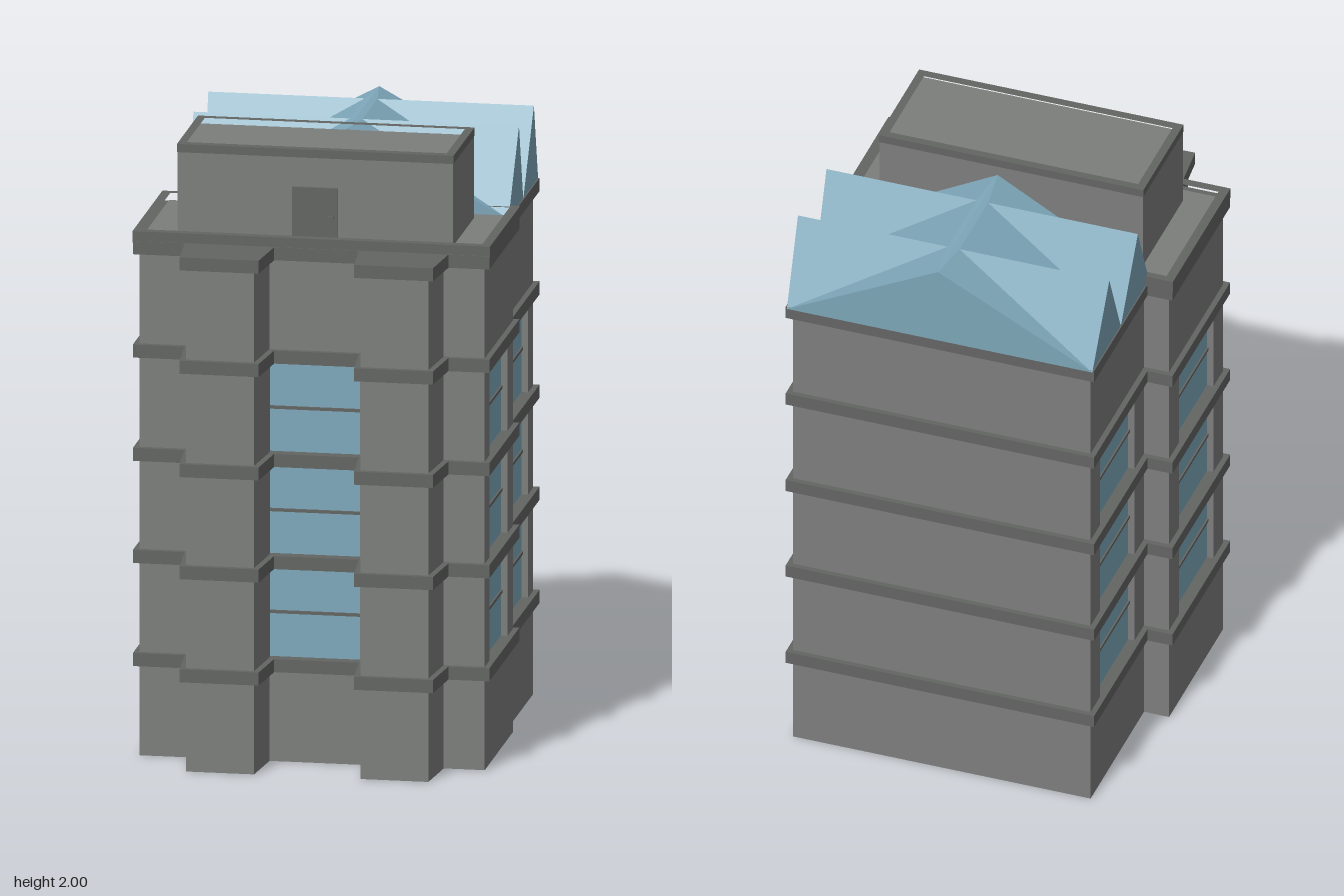
import * as THREE from 'three';

const wallMat = new THREE.MeshStandardMaterial({ color: 0x7c7e7c });
const trimMat = new THREE.MeshStandardMaterial({ color: 0x636563 });
const glassMat = new THREE.MeshStandardMaterial({ color: 0x7fa9bc, side: THREE.DoubleSide, flatShading: true });

const STOREYS = [[0.34, 0.635], [0.675, 0.97], [1.01, 1.31]];
const PIERS = [0.3, -0.265];
const FRONT_X = 0.56, BACK_L = 0.535, BACK_R = -0.475;
const SIDE_WINDOWS = [[0.005, 0.33], [-0.505, -0.18]]; // z ranges: front block, back block
const FRONT_WINDOW = [-0.14, 0.155];
const RECESS = 0.03;

function add(group, name, geometry, material, x = 0, y = 0, z = 0) {
  const mesh = new THREE.Mesh(geometry, material);
  mesh.name = name;
  mesh.position.set(x, y, z);
  group.add(mesh);
  return mesh;
}

// Box given by its min and max on each axis
function box(group, name, material, [x0, x1], [y0, y1], [z0, z1]) {
  return add(group, name, new THREE.BoxGeometry(x1 - x0, y1 - y0, z1 - z0), material,
    (x0 + x1) / 2, (y0 + y1) / 2, (z0 + z1) / 2);
}

// Extrude a plan made of [x, z] points from y0 to y1
function slab(group, name, material, plan, y0, y1, hole) {
  const toV = ([x, z]) => new THREE.Vector2(x, -z);
  const shape = new THREE.Shape(plan.map(toV));
  if (hole) shape.holes.push(new THREE.Path(hole.map(toV)));
  const geo = new THREE.ExtrudeGeometry(shape, { depth: y1 - y0, bevelEnabled: false });
  geo.rotateX(-Math.PI / 2);
  return add(group, name, geo, material, 0, y0, 0);
}

const rect = (x0, x1, z0, z1) => [[x0, z0], [x1, z0], [x1, z1], [x0, z1]];

// Building plan grown by o, with optional window recesses
function plan(o, recessed) {
  const pts = [];
  const sideNotch = (x, inward, z0, z1) => {
    if (recessed) pts.push([x, z0], [x + inward, z0], [x + inward, z1], [x, z1]);
  };
  const [[fz0, fz1], [bz0, bz1]] = SIDE_WINDOWS;
  const front = 0.42 + o, back = -0.595 - o, step = -0.09 - o;
  // left side, back to front
  pts.push([BACK_L + o, back]);
  sideNotch(BACK_L + o, -RECESS, bz0, bz1);
  pts.push([BACK_L + o, step], [FRONT_X + o, step]);
  sideNotch(FRONT_X + o, -RECESS, fz0, fz1);
  pts.push([FRONT_X + o, front]);
  // front with two tapered piers
  PIERS.forEach((c, i) => {
    pts.push([c + 0.127 + o, front], [c + 0.11 + o, 0.605 + o], [c - 0.11 - o, 0.605 + o], [c - 0.127 - o, front]);
    if (recessed && i === 0) {
      const [x0, x1] = FRONT_WINDOW;
      pts.push([x1, front], [x1, front - RECESS], [x0, front - RECESS], [x0, front]);
    }
  });
  // right side, front to back
  pts.push([-FRONT_X - o, front]);
  sideNotch(-FRONT_X - o, RECESS, fz1, fz0);
  pts.push([-FRONT_X - o, step], [BACK_R - o, step]);
  sideNotch(BACK_R - o, RECESS, bz1, bz0);
  pts.push([BACK_R - o, back]);
  return pts;
}

// Folded glass roof: a long ridge crossed by two gables on each side
function glassRoof() {
  const yLow = 1.69, yTop = 1.97, cx = 0.03;
  const zLow = [-0.615, -0.345, -0.078], zPeak = [-0.482, -0.212];
  const pos = [];
  const tri = (...p) => p.forEach((v) => pos.push(...v));
  const ridgeBack = [cx, yTop, -0.63], ridgeFront = [cx, yTop, -0.065];
  for (const s of [-1, 1]) {
    const low = zLow.map((z) => [cx + s * 0.518, yLow, z]);
    const peak = zPeak.map((z) => [cx + s * 0.528, yTop - 0.005, z]);
    const inner = zPeak.map((z) => [cx + s * 0.02, yTop - 0.005, z]);
    const t = (a, b, c) => (s > 0 ? tri(a, b, c) : tri(a, c, b));
    for (const i of [0, 1]) {
      t(low[i], peak[i], low[i + 1]);
      t(low[i], inner[i], peak[i]);
      t(low[i + 1], peak[i], inner[i]);
    }
    // main slopes up to the long ridge
    t(low[0], ridgeBack, inner[0]);
    t(low[1], inner[0], inner[1]);
    t(low[2], inner[1], ridgeFront);
    t(inner[0], ridgeBack, ridgeFront);
    t(inner[0], ridgeFront, inner[1]);
  }
  // end triangles
  const l = cx + 0.518, r = cx - 0.518;
  tri([l, yLow, zLow[0]], [r, yLow, zLow[0]], ridgeBack);
  tri([r, yLow, zLow[2]], [l, yLow, zLow[2]], ridgeFront);
  const geo = new THREE.BufferGeometry();
  geo.setAttribute('position', new THREE.Float32BufferAttribute(pos, 3));
  geo.computeVertexNormals();
  return geo;
}

export function createModel() {
  const model = new THREE.Group();
  model.name = 'officeTower';

  // Walls: plain base and top storeys, recessed window storeys between
  slab(model, 'baseWalls', wallMat, plan(0, false), 0, 0.32);
  slab(model, 'windowStoreyWalls', wallMat, plan(0, true), 0.32, 1.33);
  slab(model, 'topWalls', wallMat, plan(0, false), 1.33, 1.67);

  // Floor bands around the whole outline
  for (const y of [0.297, 0.636, 0.972, 1.312, 1.652]) {
    slab(model, 'floorBand', trimMat, plan(0.018, false), y, y + 0.043);
  }

  // Windows: a pane per storey with a thin crossbar
  const windows = new THREE.Group();
  windows.name = 'windows';
  model.add(windows);
  for (const [y0, y1] of STOREYS) {
    const mid = (y0 + y1) / 2;
    const bar = [mid - 0.005, mid + 0.005];
    const z = 0.42 - RECESS;
    box(windows, 'frontPane', glassMat, FRONT_WINDOW, [y0, y1], [z, z + 0.008]);
    box(windows, 'frontCrossbar', trimMat, FRONT_WINDOW, bar, [z, z + 0.014]);
    SIDE_WINDOWS.forEach((zr, i) => {
      const walls = i === 0 ? [[FRONT_X, 1], [-FRONT_X, -1]] : [[BACK_L, 1], [BACK_R, -1]];
      for (const [wx, s] of walls) {
        const x = wx - s * RECESS;
        const span = (d) => [x, x + s * d].sort((a, b) => a - b);
        box(windows, 'sidePane', glassMat, span(0.008), [y0, y1], zr);
        box(windows, 'sideCrossbar', trimMat, span(0.014), bar, zr);
      }
    });
  }

  // Front roof with parapet
  slab(model, 'parapet', trimMat, rect(-0.58, 0.58, -0.11, 0.435), 1.69, 1.727,
    rect(-0.55, 0.55, -0.085, 0.405));
  box(model, 'roofDeck', wallMat, [-0.555, 0.555], [1.68, 1.702], [-0.09, 0.41]);

  // Rooftop housing with its own rim and a door
  box(model, 'roofHousing', wallMat, [-0.448, 0.445], [1.69, 1.975], [-0.025, 0.353]);
  slab(model, 'housingRim', trimMat, rect(-0.45, 0.447, -0.027, 0.355), 1.973, 2,
    rect(-0.423, 0.42, 0, 0.325));
  box(model, 'door', trimMat, [-0.075, 0.07], [1.7, 1.877], [0.35, 0.362]);
  box(model, 'doorHandle', trimMat, [0.04, 0.06], [1.775, 1.785], [0.36, 0.37]);

  add(model, 'glassRoof', glassRoof(), glassMat);
  return model;
}
